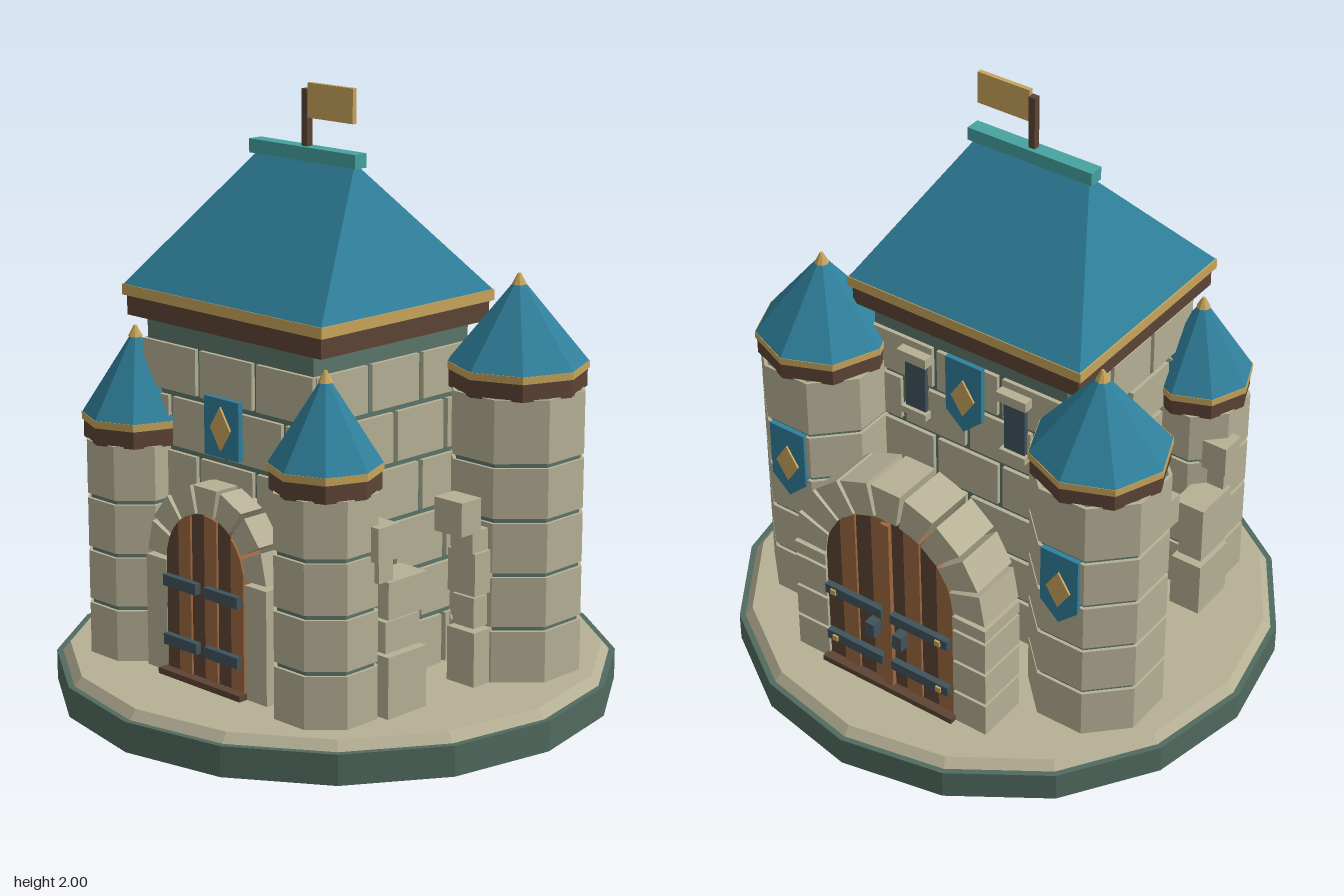
import * as THREE from 'three';

const mat = (name, color) => {
  const m = new THREE.MeshStandardMaterial({ color });
  m.name = name;
  return m;
};

export function createModel() {
  const stone = mat('stone', 0xb6b095), mortar = mat('mortar', 0x5c766a), plinth = mat('plinth', 0x506a5e);
  const blue = mat('roofBlue', 0x2f7f9b), teal = mat('ridgeTeal', 0x45a3a0), gold = mat('gold', 0xc8a55b);
  const brown = mat('darkWood', 0x5d4435), wood = mat('lightWood', 0x9c663e), iron = mat('iron', 0x3f545c);

  // ---- helpers ----
  const model = new THREE.Group();
  model.name = 'castle';
  const group = (name, parent, x = 0, y = 0, z = 0) => {
    const g = new THREE.Group();
    g.name = name;
    g.position.set(x, y, z);
    parent.add(g);
    return g;
  };
  const add = (parent, name, geo, m, x = 0, y = 0, z = 0) => {
    const mesh = new THREE.Mesh(geo, m);
    mesh.name = name;
    mesh.position.set(x, y, z);
    parent.add(mesh);
    return mesh;
  };
  // box given by its limits
  const block = (parent, name, m, x0, x1, y0, y1, z0, z1) =>
    add(parent, name, new THREE.BoxGeometry(x1 - x0, y1 - y0, z1 - z0), m, (x0 + x1) / 2, (y0 + y1) / 2, (z0 + z1) / 2);
  // faceted ring or cone between two heights
  const prism = (parent, name, m, rTop, rBottom, y0, y1, sides, turn = 0) => {
    const geo = new THREE.CylinderGeometry(rTop, rBottom, y1 - y0, sides).toNonIndexed();
    geo.computeVertexNormals();
    const mesh = add(parent, name, geo, m, 0, (y0 + y1) / 2, 0);
    mesh.rotation.y = turn;
    return mesh;
  };
  // flat outline given thickness along z
  const plate = (parent, name, m, points, z0, z1) => {
    const shape = new THREE.Shape(points.map(([x, y]) => new THREE.Vector2(x, y)));
    return add(parent, name, new THREE.ExtrudeGeometry(shape, { depth: z1 - z0, bevelEnabled: false }), m, 0, 0, z0);
  };
  const banner = (parent, x, y, z, pointed) => {
    const g = group('banner', parent, x, y, z);
    const outline = pointed
      ? [[-0.07, 0.135], [-0.07, -0.07], [0, -0.135], [0.07, -0.07], [0.07, 0.135]]
      : [[-0.078, 0.095], [-0.078, -0.095], [0.078, -0.095], [0.078, 0.095]];
    plate(g, 'bannerCloth', blue, outline, 0, 0.018);
    plate(g, 'bannerDiamond', gold, [[-0.045, 0], [0, -0.07], [0.045, 0], [0, 0.07]], 0.018, 0.025);
    return g;
  };

  // ---- round plinth ----
  prism(model, 'plinth', plinth, 0.925, 0.925, 0, 0.1, 16);
  prism(model, 'courtyard', stone, 0.88, 0.905, 0.1, 0.13, 16);

  // ---- keep ----
  const keep = group('keep', model, 0, 0, 0.13);
  block(keep, 'keepCore', mortar, -0.375, 0.375, 0.13, 1.25, -0.345, 0.345);
  const levels = [0.13, 0.305, 0.48, 0.66, 0.84, 1.02, 1.18];
  for (let side = 0; side < 4; side++) {
    const wall = group('keepWall', keep);
    wall.rotation.y = side * Math.PI / 2;
    const half = side % 2 ? 0.345 : 0.385, front = side % 2 ? 0.375 : 0.345;
    for (let r = 0; r < 6; r++) {
      const t = half / 3;
      const cuts = r % 2 ? [-half, -t, t, half] : [-half, -2 * t, 0, 2 * t, half];
      for (let i = 0; i < cuts.length - 1; i++) {
        block(wall, 'wallStone', stone, cuts[i] + (i ? 0.01 : 0), cuts[i + 1] - (i < cuts.length - 2 ? 0.01 : 0),
          levels[r] + (r ? 0.01 : 0), levels[r + 1] - (r < 5 ? 0.01 : 0), front - 0.02, front + 0.014);
      }
    }
  }

  // ---- hipped roof, ridge and flag ----
  block(keep, 'roofBeam', brown, -0.437, 0.437, 1.25, 1.315, -0.376, 0.376);
  block(keep, 'roofTrim', gold, -0.45, 0.45, 1.315, 1.35, -0.386, 0.386);
  const hip = new THREE.BoxGeometry(0.89, 0.41, 0.766);
  const p = hip.attributes.position;
  for (let i = 0; i < p.count; i++) {
    if (p.getY(i) > 0) p.setXYZ(i, Math.sign(p.getX(i)) * 0.215, p.getY(i), Math.sign(p.getZ(i)) * 0.008);
  }
  hip.computeVertexNormals();
  add(keep, 'mainRoof', hip, blue, 0, 1.555, 0);
  block(keep, 'ridgeCap', teal, -0.235, 0.235, 1.755, 1.8, -0.026, 0.026);
  block(keep, 'flagPole', brown, -0.012, 0.012, 1.8, 1.98, -0.012, 0.012);
  block(keep, 'flag', gold, 0.012, 0.208, 1.89, 2.0, -0.008, 0.008);

  // ---- wall banners and rear windows ----
  banner(keep, 0, 0.955, 0.36, false);
  const rear = group('rearWallDetails', keep);
  rear.rotation.y = Math.PI;
  banner(rear, 0, 1.06, 0.36, true);
  for (const s of [-1, 1]) {
    const w = group('window', rear, s * 0.195, 0, 0);
    block(w, 'windowPane', iron, -0.04, 0.04, 0.93, 1.12, 0.355, 0.374);
    block(w, 'windowLintel', stone, -0.057, 0.057, 1.12, 1.155, 0.355, 0.394);
    block(w, 'windowSill', stone, -0.05, 0.05, 0.905, 0.93, 0.355, 0.388);
  }

  // ---- corner towers ----
  const tower = (x, z, radius, top, apex, rows) => {
    const g = group('tower', model, x, 0, z);
    const R = radius / Math.cos(Math.PI / 8), turn = Math.PI / 8;
    prism(g, 'towerCore', mortar, R - 0.012, R - 0.012, 0.13, top, 8, turn);
    for (let i = 0; i < rows; i++) {
      const y0 = 0.13 + i * 0.178, y1 = i === rows - 1 ? top : y0 + 0.178;
      prism(g, 'towerCourse', stone, R, R, y0 + (i ? 0.008 : 0), y1 - (i < rows - 1 ? 0.008 : 0), 8, turn);
    }
    const eave = radius + 0.02;
    prism(g, 'towerBeam', brown, eave - 0.006, eave - 0.006, top - 0.005, top + 0.053, 8);
    prism(g, 'towerTrim', gold, eave, eave, top + 0.053, top + 0.077, 8);
    prism(g, 'towerRoof', blue, 0.004, eave - 0.002, top + 0.077, apex, 8);
    prism(g, 'towerFinial', gold, 0.005, 0.024, apex - 0.024, apex + 0.012, 8);
    return g;
  };
  for (const s of [-1, 1]) {
    tower(s * 0.43, 0.48, 0.158, 0.85, 1.2, 4);
    const back = tower(s * 0.54, -0.27, 0.207, 1.055, 1.402, 5);
    const hanging = group('towerBanner', back);
    hanging.rotation.y = Math.PI;
    banner(hanging, 0, 0.705, 0.2, true);

    // ruined side wall, two short stacks with merlons
    const ruin = group('sideWall', model, s * 0.562, 0, 0);
    for (const [z0, z1, y0, y1, w] of [
      [0.23, 0.40, 0.13, 0.33, 0.057], [0.25, 0.40, 0.34, 0.44, 0.045], [0.23, 0.40, 0.45, 0.57, 0.057],
      [0.37, 0.43, 0.57, 0.64, 0.045], [0.355, 0.445, 0.64, 0.75, 0.057],
      [-0.09, 0.01, 0.13, 0.31, 0.057], [-0.09, 0, 0.32, 0.42, 0.045], [-0.09, 0.01, 0.43, 0.57, 0.057],
      [-0.07, 0.01, 0.57, 0.64, 0.045], [-0.015, 0.075, 0.64, 0.75, 0.057],
    ]) block(ruin, 'sideWallStone', stone, -w, w, y0, y1, z0, z1);
  }

  // ---- arched gates ----
  // inner and outer radius, springing height, back and front of the arch, door face
  const gate = (name, r0, r1, cy, z0, z1, door, stones, courses, planks) => {
    const g = group(name, model);
    const step = Math.PI / stones, gap = 0.006 / r0;
    const at = (r, a) => [r * Math.cos(a), cy + r * Math.sin(a)];
    for (let i = 0; i < stones; i++) {
      const a = i * step + gap, b = (i + 1) * step - gap;
      plate(g, 'archStone', stone, [at(r0, a), at(r1, a), at(r1, b), at(r0, b)], z0, z1);
    }
    for (const s of [-1, 1]) {
      for (let i = 0; i < courses.length - 1; i++) {
        const a = s * r0, b = s * (r1 + 0.004);
        block(g, 'jambStone', stone, Math.min(a, b), Math.max(a, b), courses[i] + (i ? 0.006 : 0), courses[i + 1] - 0.006, z0, z1 + 0.004);
      }
      for (const y of [0.25, 0.447]) {
        const a = s * 0.018, b = s * (r0 - 0.01);
        block(g, 'hingeStrap', iron, Math.min(a, b), Math.max(a, b), y - 0.018, y + 0.018, door, door + 0.022);
      }
    }
    const width = 2 * r0 / planks;
    for (let i = 0; i < planks; i++) {
      const a = -r0 + i * width + 0.002, b = a + width - 0.004, pts = [[a, 0.14], [b, 0.14]];
      for (let k = 0; k <= 4; k++) {
        const x = b + (a - b) * k / 4;
        pts.push([x, cy + Math.sqrt(Math.max(0, r0 * r0 - x * x))]);
      }
      plate(g, 'doorPlank', i % 2 ? wood : brown, pts, z0 + 0.03, door - (i % 2 ? 0 : 0.004));
    }
    block(g, 'doorSill', brown, -r0 - 0.008, r0 + 0.008, 0.13, 0.15, z0, door + 0.03);
    return g;
  };
  gate('frontGate', 0.18, 0.272, 0.51, 0.47, 0.58, 0.588, 7, [0.13, 0.51], 6);
  const backGate = gate('backGate', 0.255, 0.378, 0.573, 0.475, 0.655, 0.655, 9, [0.13, 0.255, 0.385, 0.515, 0.573], 8);
  backGate.rotation.y = Math.PI;

  // handles, pins and the centre batten of the rear doors
  block(backGate, 'centreBatten', wood, -0.016, 0.016, 0.15, 0.82, 0.64, 0.668);
  for (const s of [-1, 1]) {
    block(backGate, 'doorHandle', iron, s * 0.055 - 0.018, s * 0.055 + 0.018, 0.345, 0.4, 0.65, 0.692);
    for (const y of [0.25, 0.447]) {
      block(backGate, 'hingePin', gold, s * 0.21 - 0.01, s * 0.21 + 0.01, y - 0.01, y + 0.01, 0.67, 0.684);
    }
  }
  return model;
}
